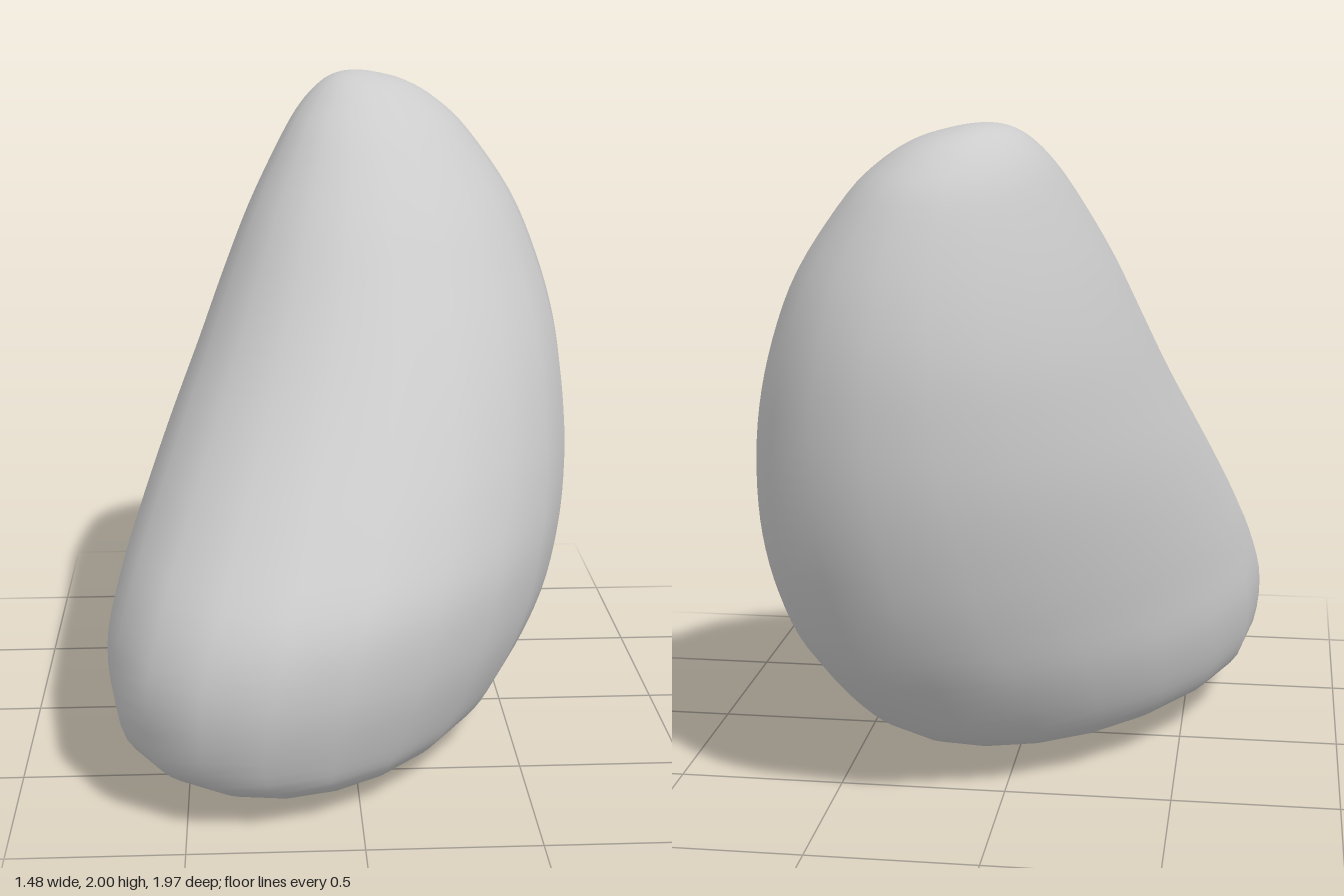
import * as THREE from 'three';
import { mergeVertices } from 'three/addons/utils/BufferGeometryUtils.js';

// Horizontal slices from base to peak: height, x min, x max, z min, z max
const SLICES = [
  [0, 0, 0, 0.24, 0.24],
  [0.005, -0.18, 0.19, 0.04, 0.47],
  [0.035, -0.40, 0.29, -0.18, 0.71],
  [0.1, -0.58, 0.42, -0.40, 0.87],
  [0.2, -0.705, 0.53, -0.55, 0.945],
  [0.4, -0.74, 0.65, -0.73, 0.987],
  [0.6, -0.70, 0.71, -0.845, 0.945],
  [0.8, -0.63, 0.737, -0.92, 0.79],
  [1.0, -0.55, 0.735, -0.967, 0.61],
  [1.2, -0.465, 0.71, -0.985, 0.43],
  [1.4, -0.385, 0.655, -0.98, 0.255],
  [1.6, -0.30, 0.57, -0.94, 0.08],
  [1.8, -0.195, 0.43, -0.865, -0.13],
  [1.9, -0.13, 0.325, -0.79, -0.27],
  [1.96, -0.07, 0.225, -0.71, -0.365],
  [1.99, -0.015, 0.12, -0.625, -0.455],
  [2, 0.045, 0.045, -0.54, -0.54],
];
const SIDES = 20, STEPS = 64;

// Turns each oval so its long axis runs from front-right to back-left, less so near the peak
const skewAt = (y) => -Math.asin(0.37 - 0.16 * THREE.MathUtils.smoothstep(y, 0.4, 1.4));

function createBody() {
  const low = new THREE.CatmullRomCurve3(
    SLICES.map(([y, x0, , z0]) => new THREE.Vector3(x0, y, z0)), false, 'catmullrom');
  const high = new THREE.CatmullRomCurve3(
    SLICES.map(([y, , x1, , z1]) => new THREE.Vector3(x1, y, z1)), false, 'catmullrom');

  const positions = [], index = [];
  for (let j = 0; j <= STEPS; j++) {
    const a = low.getPoint(j / STEPS), b = high.getPoint(j / STEPS);
    const y = THREE.MathUtils.clamp(a.y, 0, 2);
    for (let i = 0; i < SIDES; i++) {
      const t = (i / SIDES) * Math.PI * 2;
      positions.push(
        (a.x + b.x) / 2 + ((b.x - a.x) / 2) * Math.cos(t),
        y,
        (a.z + b.z) / 2 + ((b.z - a.z) / 2) * Math.sin(t + skewAt(y)));
      if (j < STEPS) {
        const n = (i + 1) % SIDES, r = j * SIDES, s = r + SIDES;
        index.push(r + i, s + i, r + n, s + i, s + n, r + n);
      }
    }
  }
  let geometry = new THREE.BufferGeometry();
  geometry.setAttribute('position', new THREE.Float32BufferAttribute(positions, 3));
  geometry.setIndex(index);
  geometry = mergeVertices(geometry, 1e-5); // closes the two poles
  geometry.computeVertexNormals();
  return geometry;
}

export function createModel() {
  const group = new THREE.Group();
  group.name = 'pebble';
  const body = new THREE.Mesh(createBody(), new THREE.MeshStandardMaterial({ color: 0xcccccc }));
  body.name = 'pebbleBody';
  group.add(body);
  return group;
}
